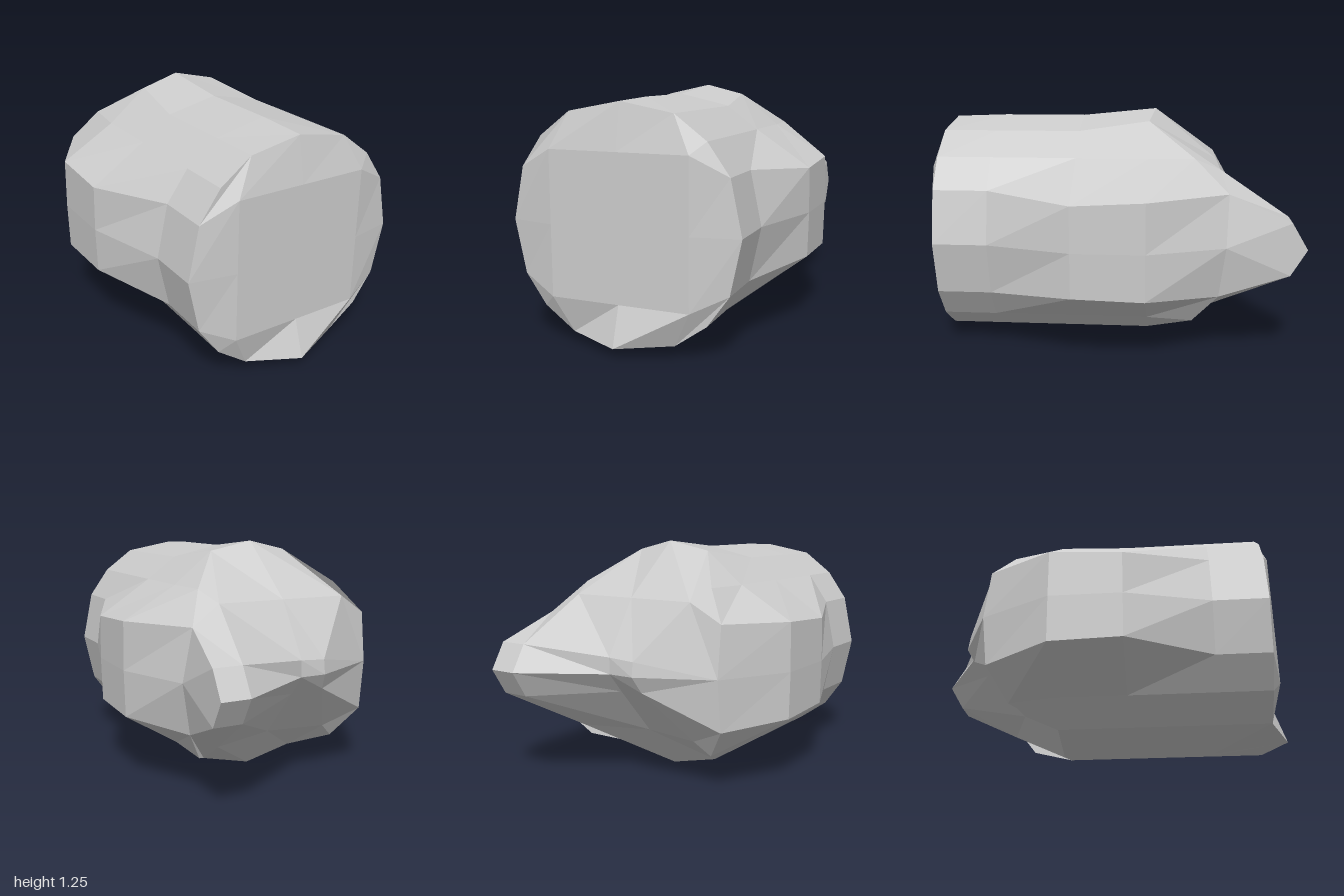
import * as THREE from 'three';

// Half outlines (x, y), top centre to bottom centre, for each cross-section of the body
const straight = [[0, 1.21], [0.27, 1.15], [0.43, 1.03], [0.54, 0.875], [0.597, 0.605], [0.54, 0.335], [0.43, 0.18], [0.27, 0.065], [0, 0]];
const bulged = [[0, 1.21], [0.27, 1.15], [0.43, 1.03], [0.715, 0.84], [0.72, 0.605], [0.715, 0.37], [0.43, 0.18], [0.27, 0.065], [0, 0]];
const raised = [[0, 1.25], [0.22, 1.2], [0.43, 1.03], [0.715, 0.86], [0.72, 0.605], [0.715, 0.36], [0.43, 0.18], [0.27, 0.065], [0, 0]];

// Mirror a half outline into a closed ring of 16 points, clockwise from the top
function ring(half, z) {
  const right = half.map(([x, y]) => [x, y, z]);
  const left = right.slice(1, -1).reverse().map(([x, y]) => [-x, y, z]);
  return [...right, ...left];
}

export function createModel() {
  const positions = [];

  // Add a triangle, leaving out collapsed ones
  function tri(...points) {
    const [a, b, c] = points.map((p) => new THREE.Vector3(...p));
    if (new THREE.Triangle(a, b, c).getArea() < 1e-6) return;
    for (const p of points) positions.push(...p);
  }

  // Skin between two rows of points
  function strip(upper, lower, flip = false) {
    for (let i = 0; i < upper.length - 1; i++) {
      const a = upper[i], b = upper[i + 1], c = lower[i], d = lower[i + 1];
      if (flip) {
        tri(a, c, b);
        tri(c, d, b);
      } else {
        tri(a, b, c);
        tri(b, d, c);
      }
    }
  }

  // Body rings from front to back
  const front = ring(straight, 0.89);
  front[0] = [0, 1.2, 0.89];
  front[8] = [0, 0.05, 1];
  const shoulder = ring(raised, -0.2);
  shoulder[0][2] = -0.23;

  // Uneven rim where the body meets the broken back
  const rim = shoulder.map((p) => [...p]);
  const rimPoints = {
    2: [0.41, 1.03, -0.44], 3: [0.52, 0.87, -0.61], 4: [0.57, 0.605, -0.6],
    5: [0.52, 0.335, -0.57], 6: [0.41, 0.16, -0.44], 10: [-0.4, 0.17, -0.44],
    11: [-0.52, 0.335, -0.54], 12: [-0.52, 0.605, -0.57], 13: [-0.52, 0.87, -0.54],
    14: [-0.4, 1.03, -0.44],
  };
  for (const i in rimPoints) rim[i] = rimPoints[i];

  const rings = [front, ring(straight, 0.61), ring(bulged, 0.17), shoulder, rim];
  for (let i = 0; i < rings.length - 1; i++) {
    strip([...rings[i], rings[i][0]], [...rings[i + 1], rings[i + 1][0]]);
  }

  // Front face: a 5 x 5 grid bounded by the front ring
  const inner = (y) => [-0.36, 0, 0.36].map((x) => [x, y, 0.935]);
  const frontRows = [
    [14, 15, 0, 1, 2].map((i) => front[i]),
    [front[13], ...inner(0.97), front[3]],
    [front[12], ...inner(0.605), front[4]],
    [front[11], ...inner(0.245), front[5]],
    [10, 9, 8, 7, 6].map((i) => front[i]),
  ];
  for (let i = 0; i < 4; i++) strip(frontRows[i], frontRows[i + 1], true);

  // Back face: a hollowed slope with a blunt point jutting out on the +x side
  const backRows = [
    [14, 15, 0, 1, 2, 2].map((i) => rim[i]),
    [rim[13], [-0.36, 0.97, -0.57], [0, 0.97, -0.57], [0.36, 0.97, -0.57], rim[3], rim[3]],
    [rim[12], [-0.14, 0.68, -0.74], [0, 0.69, -0.75], [0.42, 0.74, -0.92], [0.57, 0.74, -0.92], rim[4]],
    [rim[12], [-0.14, 0.605, -0.75], [0, 0.605, -0.75], [0.42, 0.605, -1], [0.57, 0.605, -1], rim[4]],
    [rim[12], [-0.16, 0.52, -0.7], [0, 0.5, -0.66], [0.42, 0.47, -0.92], [0.57, 0.47, -0.92], rim[4]],
    [rim[11], [-0.32, 0.245, -0.48], [0, 0.245, -0.43], [0.36, 0.245, -0.55], rim[5], rim[5]],
    [10, 9, 8, 7, 6, 6].map((i) => rim[i]),
  ];
  for (let i = 0; i < backRows.length - 1; i++) strip(backRows[i], backRows[i + 1]);

  const geometry = new THREE.BufferGeometry();
  geometry.setAttribute('position', new THREE.Float32BufferAttribute(positions, 3));
  geometry.computeVertexNormals();

  const rock = new THREE.Mesh(geometry, new THREE.MeshStandardMaterial({ color: 0xcccccc, flatShading: true }));
  rock.name = 'rock';
  const group = new THREE.Group();
  group.name = 'boulder';
  group.add(rock);
  return group;
}
